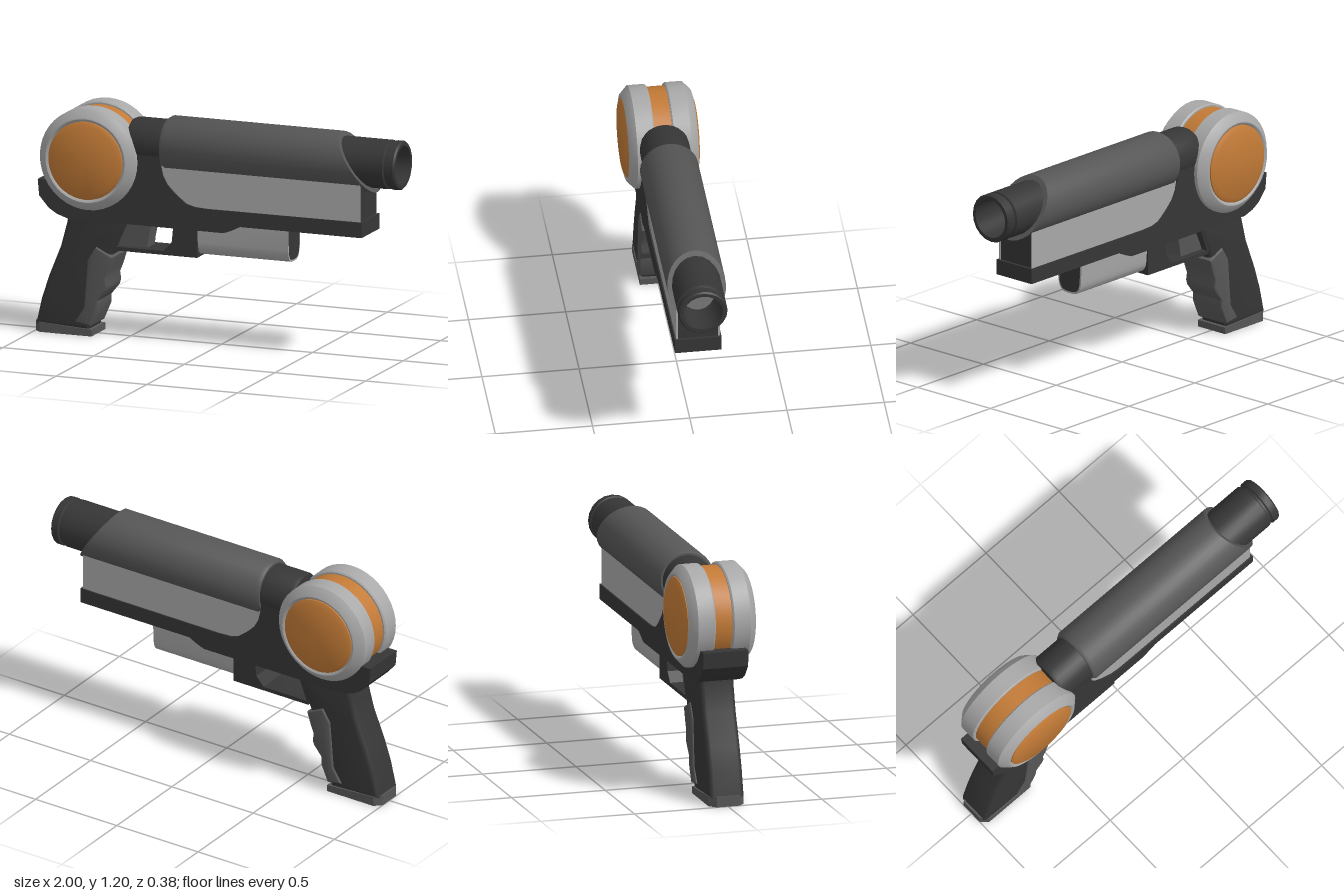
import * as THREE from 'three';
import { toCreasedNormals } from 'three/addons/utils/BufferGeometryUtils.js';

const mat = (name, color) => new THREE.MeshStandardMaterial({ name, color });

export function createModel() {
  const root = new THREE.Group();
  root.name = 'toyBlaster';
  const dark = mat('charcoal', 0x363636);
  const mid = mat('midGrey', 0x565656);
  const light = mat('lightGrey', 0xa8a8a8);
  const orange = mat('copperOrange', 0xc27a36);

  const add = (name, geo, material, parent = root) => {
    const mesh = new THREE.Mesh(toCreasedNormals(geo, 0.6), material);
    mesh.name = name;
    parent.add(mesh);
    return mesh;
  };
  const outline = (pts) => new THREE.Shape(pts.map(([x, y]) => new THREE.Vector2(x, y)));
  // Side profile extruded symmetrically about z = 0
  const slab = (shape, half, bevel = 0) => {
    const geo = new THREE.ExtrudeGeometry(shape, {
      depth: 2 * (half - bevel), curveSegments: 16,
      bevelEnabled: bevel > 0, bevelSize: bevel, bevelThickness: bevel,
      bevelOffset: -bevel, bevelSegments: 3,
    });
    return geo.translate(0, 0, -(half - bevel));
  };
  const lathe = (pts, seg) => new THREE.LatheGeometry(pts.map(([r, h]) => new THREE.Vector2(r, h)), seg);
  const box = (x0, x1, y0, y1, z0, z1) => new THREE.BoxGeometry(x1 - x0, y1 - y0, z1 - z0)
    .translate((x0 + x1) / 2, (y0 + y1) / 2, (z0 + z1) / 2);

  // Main frame with a round cradle for the drum
  const frame = outline([
    [-0.965, 0.805], [-0.957, 0.72], [-0.905, 0.66], [-0.86, 0.632], [-0.8, 0.612],
    [0.06, 0.61], [0.10, 0.625], [0.15, 0.65], [0.82, 0.65], [0.82, 0.73],
    [-0.03, 0.728], [-0.10, 0.732], [-0.147, 0.745], [-0.205, 0.79], [-0.25, 0.835],
    [-0.275, 0.88], [-0.29, 0.945], [-0.29, 1.058], [-0.48, 1.058],
  ]);
  frame.absarc(-0.68, 0.935, 0.235, 0.55, -2.556, true);
  frame.lineTo(-0.91, 0.805);
  add('frame', slab(frame, 0.12), dark);

  // Rounded neck on top of the frame
  const alongX = (geo) => geo.rotateZ(-Math.PI / 2).translate(0, 1.02, 0);
  add('neck', alongX(lathe([[0, -0.48], [0.12, -0.48], [0.128, -0.46], [0.128, -0.27], [0, -0.27]], 28)), dark);

  // Barrel sleeve, its front end cut on a slant
  const sleeve = alongX(lathe([[0, -0.29], [0.138, -0.29], [0.15, -0.27], [0.15, 0.7], [0, 0.7]], 32));
  const p = sleeve.attributes.position;
  for (let i = 0; i < p.count; i++) {
    if (p.getX(i) > 0.5) p.setX(i, 0.66 + (1.17 - p.getY(i)) * 0.667);
  }
  add('barrelSleeve', sleeve, mid);

  // Hollow muzzle with a groove near the lip
  add('muzzle', alongX(lathe([
    [0.127, 0.6], [0.127, 0.935], [0.117, 0.94], [0.117, 0.952], [0.127, 0.957],
    [0.127, 0.992], [0.12, 1], [0.102, 1], [0.102, 0.78],
  ], 20)), dark);
  add('boreEnd', alongX(lathe([[0.103, 0.775], [0.103, 0.785], [0, 0.785]], 20)), mid);

  // Core under the barrel with light side panels
  add('core', box(-0.3, 0.806, 0.7, 0.94, -0.104, 0.104), dark);
  for (const s of [1, -1]) {
    add('sidePanel', box(-0.3, 0.808, 0.72, 0.93, s * 0.1085 - 0.0045, s * 0.1085 + 0.0045), light);
  }

  // Drum: hub, two bevelled discs and end caps
  const drum = new THREE.Group();
  drum.name = 'drum';
  drum.position.set(-0.68, 0.935, 0);
  root.add(drum);
  add('drumHub', new THREE.CylinderGeometry(0.25, 0.25, 0.12, 40).rotateX(Math.PI / 2), orange, drum);
  for (const s of [0, 1]) {
    const side = new THREE.Group();
    side.name = s ? 'drumBack' : 'drumFront';
    side.rotation.y = s * Math.PI;
    drum.add(side);
    add('drumDisc', lathe([
      [0, 0.046], [0.258, 0.046], [0.265, 0.053], [0.265, 0.14], [0.225, 0.178],
      [0.218, 0.18], [0.208, 0.176], [0.2, 0.165], [0, 0.165],
    ], 40).rotateX(Math.PI / 2), light, side);
    add('drumCap', lathe([[0.205, 0.16], [0.203, 0.178], [0.18, 0.19], [0, 0.19]], 40)
      .rotateX(Math.PI / 2), orange, side);
  }

  // U-shaped tube under the barrel, dark at its end
  const uShape = (w, bottom) => {
    const s = new THREE.Shape();
    s.moveTo(w, 0.65);
    s.lineTo(-w, 0.65);
    s.lineTo(-w * 0.94, 0.54);
    s.bezierCurveTo(-w * 0.85, bottom, -w * 0.5, bottom, 0, bottom);
    s.bezierCurveTo(w * 0.5, bottom, w * 0.85, bottom, w * 0.94, 0.54);
    return s;
  };
  const uTube = (w, bottom, x0, x1) => new THREE.ExtrudeGeometry(uShape(w, bottom),
    { depth: x1 - x0, bevelEnabled: false, curveSegments: 12 }).rotateY(Math.PI / 2).translate(x0, 0, 0);
  add('underTube', uTube(0.083, 0.47, -0.12, 0.398), light);
  add('underTubeEnd', uTube(0.073, 0.48, 0.394, 0.4), dark);

  // Trigger guard and trigger
  const guard = outline([[-0.56, 0.46], [-0.1, 0.46], [-0.1, 0.62], [-0.56, 0.62]]);
  guard.holes.push(new THREE.Path([
    [-0.55, 0.48], [-0.285, 0.48], [-0.24, 0.53], [-0.232, 0.61], [-0.5, 0.61],
  ].map(([x, y]) => new THREE.Vector2(x, y))));
  add('triggerGuard', slab(guard, 0.087), dark);
  add('trigger', slab(outline([
    [-0.58, 0.475], [-0.39, 0.475], [-0.385, 0.52], [-0.375, 0.57], [-0.37, 0.615], [-0.58, 0.615],
  ]), 0.05), mid);

  // Handle, wavy finger grip and foot plate
  add('handle', slab(outline([
    [-0.815, 0.64], [-0.82, 0.59], [-0.855, 0.46], [-0.92, 0.30], [-0.96, 0.18], [-0.992, 0.04],
    [-0.70, 0.03], [-0.66, 0.15], [-0.62, 0.30], [-0.575, 0.43], [-0.53, 0.53], [-0.49, 0.615], [-0.49, 0.64],
  ]), 0.092, 0.025), dark);
  add('fingerGrip', slab(outline([
    [-0.655, 0.472], [-0.70, 0.40], [-0.72, 0.15], [-0.77, 0.07], [-0.685, 0.055], [-0.645, 0.147],
    [-0.645, 0.19], [-0.6, 0.245], [-0.592, 0.27], [-0.598, 0.31], [-0.58, 0.355], [-0.558, 0.425],
  ]), 0.102, 0.012), mid);
  const foot = new THREE.ExtrudeGeometry(outline([
    [-1, -0.06], [-0.965, -0.094], [-0.68, -0.094], [-0.68, 0.094], [-0.965, 0.094], [-1, 0.06],
  ]), { depth: 0.045, bevelEnabled: false }).rotateX(-Math.PI / 2);
  const f = foot.attributes.position;
  for (let i = 0; i < f.count; i++) {
    if (f.getY(i) > 0.01) f.setY(i, 0.035 - (f.getX(i) + 0.68) * 0.06);
  }
  add('footPlate', foot, mid);

  return root;
}
